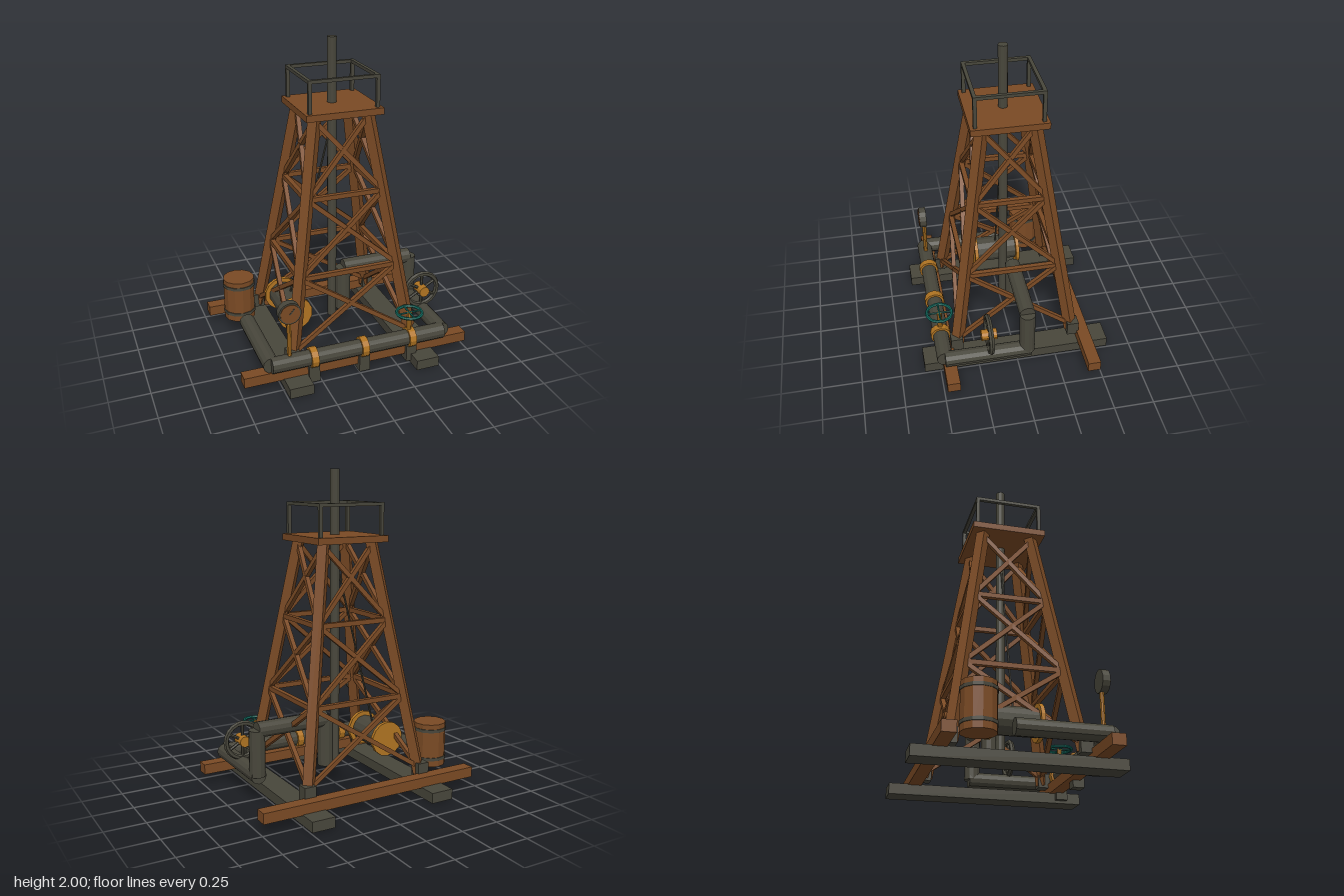
import * as THREE from 'three';

const mat = (name, color) => {
  const m = new THREE.MeshStandardMaterial({ color, flatShading: true });
  m.name = name;
  return m;
};
const V = (x, y, z) => new THREE.Vector3(x, y, z);

export function createModel() {
  const root = new THREE.Group();
  root.name = 'oilDerrick';
  const wood = mat('wood', 0x7a4a24);
  const iron = mat('dark iron', 0x48463b);
  const brass = mat('brass', 0xb07422);
  const teal = mat('teal paint', 0x126b60);

  const add = (name, geo, material, x = 0, y = 0, z = 0, parent = root) => {
    const m = new THREE.Mesh(geo, material);
    m.name = name;
    m.position.set(x, y, z);
    parent.add(m);
    return m;
  };
  const box = (name, material, w, h, d, x, y, z, parent) =>
    add(name, new THREE.BoxGeometry(w, h, d), material, x, y, z, parent);

  // Square beam from a to b, one side turned toward "out"
  const beam = (name, material, a, b, w, d, out) => {
    const dir = b.clone().sub(a);
    const m = box(name, material, w, dir.length(), d, 0, 0, 0);
    const yAxis = dir.normalize();
    const xAxis = yAxis.clone().cross(out).normalize();
    const zAxis = xAxis.clone().cross(yAxis);
    m.quaternion.setFromRotationMatrix(new THREE.Matrix4().makeBasis(xAxis, yAxis, zAxis));
    m.position.copy(a).add(b).multiplyScalar(0.5);
  };

  // Round bar or pipe from a to b
  const rod = (name, material, a, b, r, sides = 12, parent = root) => {
    const dir = b.clone().sub(a);
    const m = add(name, new THREE.CylinderGeometry(r, r, dir.length(), sides), material, 0, 0, 0, parent);
    m.quaternion.setFromUnitVectors(V(0, 1, 0), dir.normalize());
    m.position.copy(a).add(b).multiplyScalar(0.5);
  };

  // Base: two iron skids and two timber cross beams
  for (const s of [-1, 1]) {
    box('skid', iron, 0.15, 0.065, 1.2, s * 0.415, 0.0325, 0);
    box('crossBeam', wood, 1.47, 0.065, 0.08, 0, 0.0925, s * 0.445);
  }

  // Tapering tower: corner points at any height
  const corner = (y, sx, sz) => {
    const t = (y - 0.2) / 1.36;
    return V(sx * (0.383 - 0.215 * t), y, sz * (0.362 - 0.205 * t));
  };
  for (const sx of [-1, 1]) for (const sz of [-1, 1]) {
    beam('towerLeg', wood, corner(0.12, sx, sz), corner(1.57, sx, sz), 0.06, 0.06, V(sx, 0, sz));
    box('legShoe', iron, 0.075, 0.09, 0.075, sx * 0.402, 0.145, sz * 0.38);
  }

  // Girts and crossed braces on all four sides
  const faces = [
    [[-1, 1], [1, 1], V(0, 0, 1)], [[-1, -1], [1, -1], V(0, 0, -1)],
    [[1, -1], [1, 1], V(1, 0, 0)], [[-1, -1], [-1, 1], V(-1, 0, 0)],
  ];
  const levels = [0.16, 0.615, 1.09, 1.55];
  for (const [p, q, out] of faces) {
    for (let i = 0; i < 3; i++) {
      const lo = levels[i], hi = levels[i + 1];
      beam('brace', wood, corner(lo, ...p), corner(hi, ...q), 0.028, 0.028, out);
      beam('brace', wood, corner(lo, ...q), corner(hi, ...p), 0.028, 0.028, out);
      if (i > 0) beam('girt', wood, corner(lo, ...p), corner(lo, ...q), 0.03, 0.03, out);
    }
  }

  // Crown platform with railing
  box('crownPlatform', wood, 0.484, 0.04, 0.464, 0, 1.586, 0);
  for (const s of [-1, 1]) {
    for (const t of [-1, 1]) box('railPost', iron, 0.022, 0.2, 0.022, s * 0.211, 1.7, t * 0.2);
    box('railTop', iron, 0.444, 0.02, 0.022, 0, 1.793, s * 0.2);
    box('railTop', iron, 0.022, 0.02, 0.4, s * 0.211, 1.793, 0);
  }

  // Drill string
  rod('drillPipe', iron, V(0, 0.15, 0), V(0, 2, 0), 0.029);

  // Pipework around the base
  const runs = [
    [V(0.095, 0.16, -0.045), V(0.095, 0.46, -0.045)],
    [V(0.095, 0.46, -0.045), V(0.567, 0.46, -0.045)],
    [V(0.567, 0.46, -0.045), V(0.567, 0.17, -0.045)],
    [V(0.567, 0.172, -0.067), V(0.567, 0.172, 0.475)],
    [V(0.567, 0.172, 0.475), V(-0.565, 0.172, 0.475)],
    [V(-0.563, 0.172, 0.475), V(-0.563, 0.172, -0.067)],
  ];
  for (const [a, b] of runs) rod('pipe', iron, a, b, 0.05);

  // Clamps and supports on the front pipe
  for (const x of [-0.303, 0.024, 0.342]) {
    rod('pipeClamp', brass, V(x - 0.022, 0.172, 0.475), V(x + 0.022, 0.172, 0.475), 0.064);
    box('pipeSupport', iron, 0.068, 0.11, 0.07, x, 0.072, 0.475);
  }

  // Hand wheel lying in its own xy plane
  const handWheel = (name, material, r, tube, spokes) => {
    const g = new THREE.Group();
    g.name = name;
    add('rim', new THREE.TorusGeometry(r, tube, 6, 20), material, 0, 0, 0, g);
    for (let i = 0; i < spokes; i++) {
      const a = (i / spokes) * Math.PI * 2 + Math.PI / 2;
      rod('spoke', material, V(0, 0, 0), V(Math.cos(a) * r, Math.sin(a) * r, 0), tube * 0.6, 6, g);
    }
    root.add(g);
    return g;
  };
  const big = handWheel('mainValveWheel', iron, 0.111, 0.017, 6);
  big.position.set(0.557, 0.325, 0.195);
  rod('mainValveHub', brass, V(0.557, 0.325, 0.148), V(0.557, 0.325, 0.245), 0.035);
  const small = handWheel('smallValveWheel', teal, 0.079, 0.01, 4);
  small.rotation.x = Math.PI / 2;
  small.position.set(0.334, 0.347, 0.475);
  rod('smallValveStem', brass, V(0.334, 0.2, 0.475), V(0.334, 0.35, 0.475), 0.016, 8);

  // Pressure gauge
  rod('gaugePost', brass, V(-0.45, 0.2, 0.475), V(-0.45, 0.46, 0.475), 0.014, 8);
  rod('gaugeBody', iron, V(-0.45, 0.517, 0.46), V(-0.45, 0.517, 0.506), 0.07, 14);
  rod('gaugeFace', wood, V(-0.45, 0.517, 0.506), V(-0.45, 0.517, 0.51), 0.06, 14);
  const needle = box('gaugeNeedle', iron, 0.008, 0.045, 0.003, -0.44, 0.53, 0.511);
  needle.rotation.z = -0.7;

  // Winch drum and cable
  rod('winchDrum', iron, V(-0.303, 0.29, -0.145), V(-0.303, 0.29, 0.145), 0.085, 14);
  for (const z of [-0.145, 0.142])
    rod('drumFlange', brass, V(-0.303, 0.29, z - 0.012), V(-0.303, 0.29, z + 0.012), 0.113, 14);
  rod('cable', iron, V(-0.285, 0.37, 0), V(-0.01, 1.45, 0), 0.006, 6);

  // Barrel with hoops
  rod('barrel', wood, V(-0.561, 0.12, -0.258), V(-0.561, 0.4, -0.258), 0.102);
  for (const y of [0.17, 0.358])
    rod('barrelHoop', iron, V(-0.561, y - 0.01, -0.258), V(-0.561, y + 0.01, -0.258), 0.107);

  return root;
}
